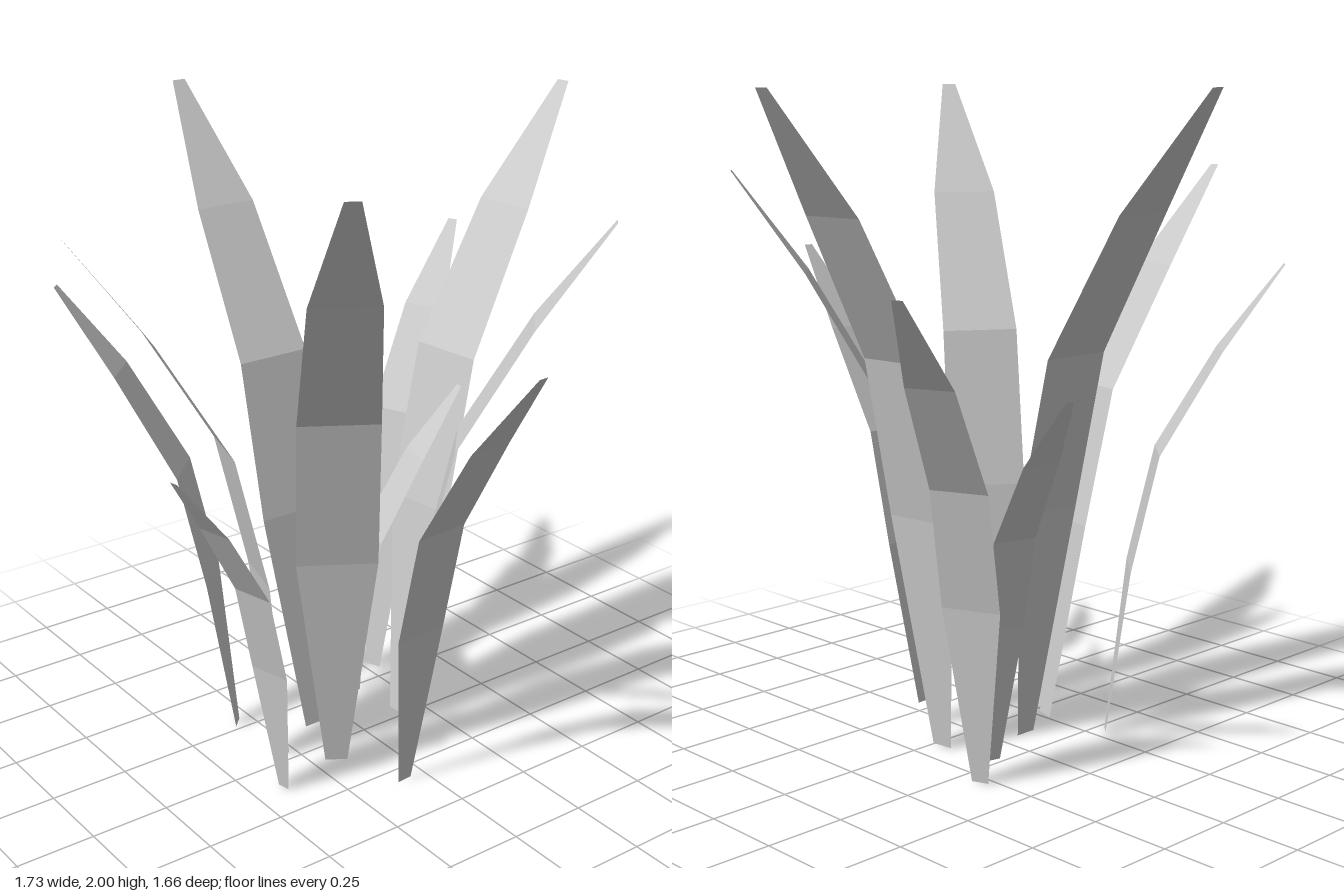
import * as THREE from 'three';

// Blade cross-sections for a tall blade: [outward lean, height, half width]
const SECTIONS = [
  [0, 0, 0.035],
  [0.09, 0.73, 0.123],
  [0.2, 1.22, 0.121],
  [0.45, 1.65, 0.101],
  [0.705, 2, 0.022],
];

// Each blade: [height, base x, base z, tip x, tip z]
const BLADES = [
  [2, -0.105, -0.13, -0.105, -0.835],
  [2, 0.16, -0.03, 0.86, -0.105],
  [2, -0.177, 0.09, -0.55, 0.69],
  [1.75, -0.27, -0.055, -0.86, -0.222],
  [1.75, 0.02, 0.14, 0.48, 0.55],
  [1.475, -0.305, -0.285, -0.675, -0.65],
  [1.475, 0.283, -0.325, 0.765, -0.52],
  [1.475, -0.075, 0.31, -0.035, 0.83],
  [1.16, -0.4, 0.12, -0.8, 0.21],
  [1.16, 0.127, -0.225, 0.23, -0.62],
  [1.16, -0.1, -0.002, 0.295, 0.088],
];

// Flat strip that leans along +z and spreads its width along x
function bladeGeometry() {
  const positions = [];
  const index = [];
  SECTIONS.forEach(([out, y, half], i) => {
    positions.push(-half, y, out, half, y, out);
    if (i > 0) {
      const a = (i - 1) * 2;
      index.push(a, a + 1, a + 3, a, a + 3, a + 2);
    }
  });
  const geometry = new THREE.BufferGeometry();
  geometry.setAttribute('position', new THREE.Float32BufferAttribute(positions, 3));
  geometry.setIndex(index);
  const flat = geometry.toNonIndexed();
  flat.computeVertexNormals();
  return flat;
}

export function createModel() {
  const group = new THREE.Group();
  group.name = 'grassTuft';
  const material = new THREE.MeshStandardMaterial({
    color: 0xcccccc,
    flatShading: true,
    side: THREE.DoubleSide,
  });
  const geometry = bladeGeometry();

  // Same blade, scaled to its height and turned to lean outward
  BLADES.forEach(([height, x, z, tipX, tipZ], i) => {
    const blade = new THREE.Mesh(geometry, material);
    blade.name = `grassBlade${i + 1}`;
    blade.position.set(x, 0, z);
    blade.rotation.y = Math.atan2(tipX - x, tipZ - z);
    blade.scale.setScalar(height / 2);
    group.add(blade);
  });
  return group;
}
